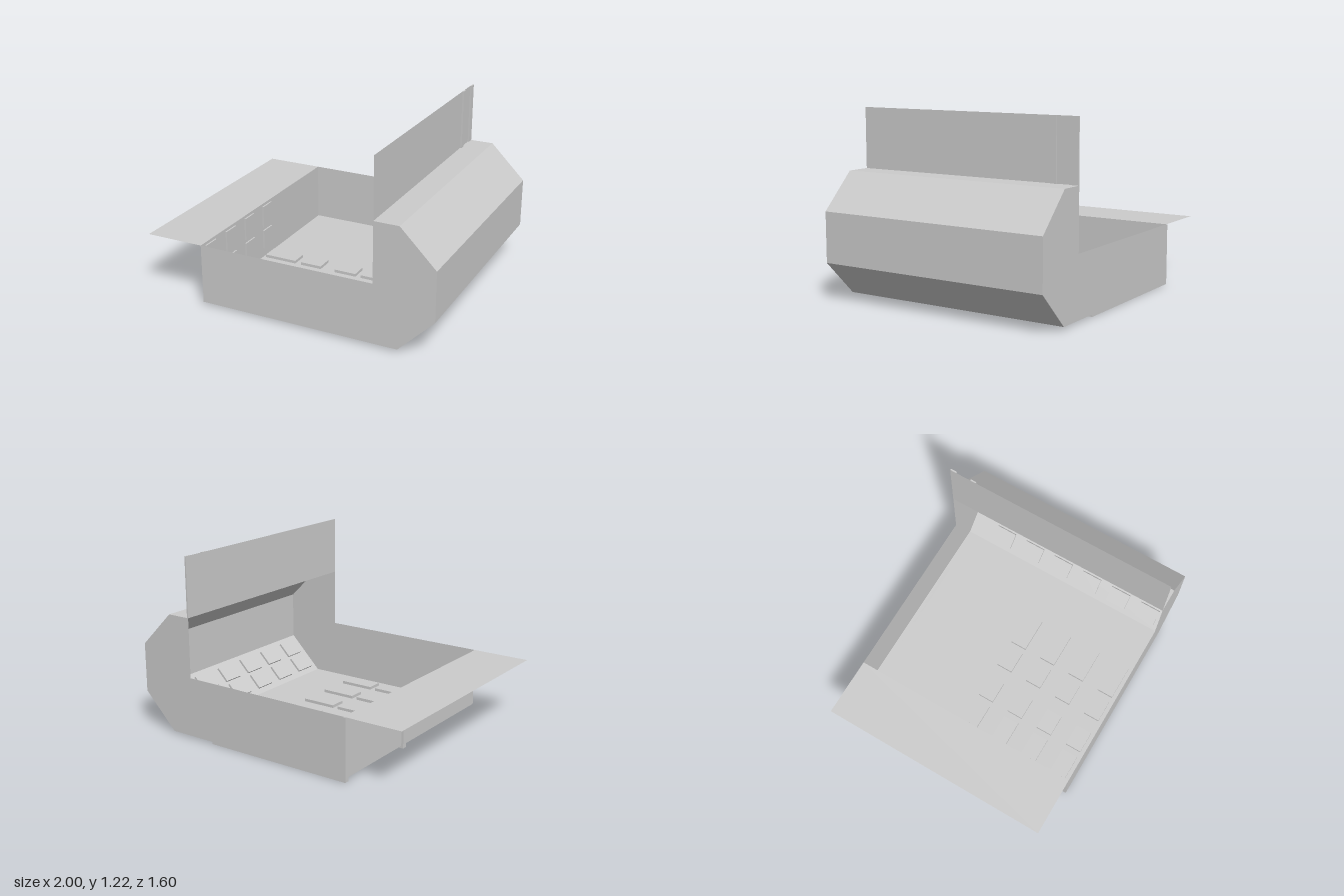
import * as THREE from 'three';

const DEPTH = 1.6;
const shell = new THREE.MeshStandardMaterial({ color: 0xcccccc, side: THREE.DoubleSide });
shell.name = 'light grey shell';

export function createModel() {
  const model = new THREE.Group();
  model.name = 'openTray';

  const add = (name, geometry, parent = model) => {
    const mesh = new THREE.Mesh(geometry, shell);
    mesh.name = name;
    parent.add(mesh);
    return mesh;
  };
  // Box given by its lower and upper limits on each axis
  const block = (name, [x0, x1], [y0, y1], [z0, z1], parent) =>
    add(name, new THREE.BoxGeometry(x1 - x0, y1 - y0, z1 - z0), parent)
      .position.set((x0 + x1) / 2, (y0 + y1) / 2, (z0 + z1) / 2);

  // Folded sheet running the full depth, one panel per fold
  const folds = [
    [-1, 0.415], [-0.6, 0.415], [-0.6, 0.015], [0.765, 0.015], [1, 0.25],
    [1, 0.58], [0.765, 0.815], [0.6, 0.815], [0.6, 1.215],
  ];
  const names = ['sideFlap', 'sideWall', 'floor', 'lowerSlope', 'hoodWall',
    'upperSlope', 'hoodTop', 'uprightFlap'];
  names.forEach((name, i) => {
    const [ax, ay] = folds[i];
    const [bx, by] = folds[i + 1];
    const panel = new THREE.PlaneGeometry(Math.hypot(bx - ax, by - ay), DEPTH);
    panel.rotateX(-Math.PI / 2).rotateZ(Math.atan2(by - ay, bx - ax));
    add(name, panel).position.set((ax + bx) / 2, (ay + by) / 2, 0);
  });

  // End walls close the tray and hood; the space above the floor stays open
  const outline = folds.slice(1, 8).concat([[0.6, 0.415]]);
  const endShape = new THREE.Shape(outline.map(([x, y]) => new THREE.Vector2(x, y)));
  add('frontEndWall', new THREE.ShapeGeometry(endShape)).position.z = DEPTH / 2;
  add('backEndWall', new THREE.ShapeGeometry(endShape).rotateY(Math.PI).scale(-1, 1, 1))
    .position.z = -DEPTH / 2;

  // Raised pads on the floor and the side wall
  const pads = new THREE.Group();
  pads.name = 'pads';
  model.add(pads);
  for (let row = 0; row < 4; row++) {
    const z0 = -0.08 + row * 0.237;
    const zs = [z0, z0 + 0.115];
    for (const xs of [[-0.58, -0.345], [-0.3, -0.145], [-0.04, 0.12], [0.16, 0.405]]) {
      block('floorPad', xs, [0.015, 0.035], zs, pads);
    }
    for (const ys of [[0.24, 0.395], [0.08, 0.215]]) {
      block('wallPad', [-0.6, -0.59], ys, zs, pads);
    }
  }

  // Two rows of pads on the inside of the lower slope
  const slope = new THREE.Group();
  slope.name = 'slopePads';
  slope.position.set(0.765, 0.015, 0);
  slope.rotation.z = Math.PI / 4;
  model.add(slope);
  for (let i = 0; i < 6; i++) {
    const z1 = 0.74 - i * 0.24;
    for (const xs of [[0.04, 0.155], [0.18, 0.295]]) {
      block('slopePad', xs, [0, 0.015], [z1 - 0.15, z1], slope);
    }
  }

  // L-shaped rails under the floor and up the outside of the side wall
  for (const zs of [[-0.8, -0.765], [-0.155, -0.12]]) {
    block('floorRail', [-0.615, 0.43], [0, 0.015], zs);
    block('wallRail', [-0.615, -0.6], [0.015, 0.412], zs);
  }

  // Strips on the outside of the upright flap
  for (const zs of [[-0.8, -0.755], [-0.65, -0.61]]) {
    block('flapStrip', [0.6, 0.61], [0.815, 1.215], zs);
  }

  return model;
}
